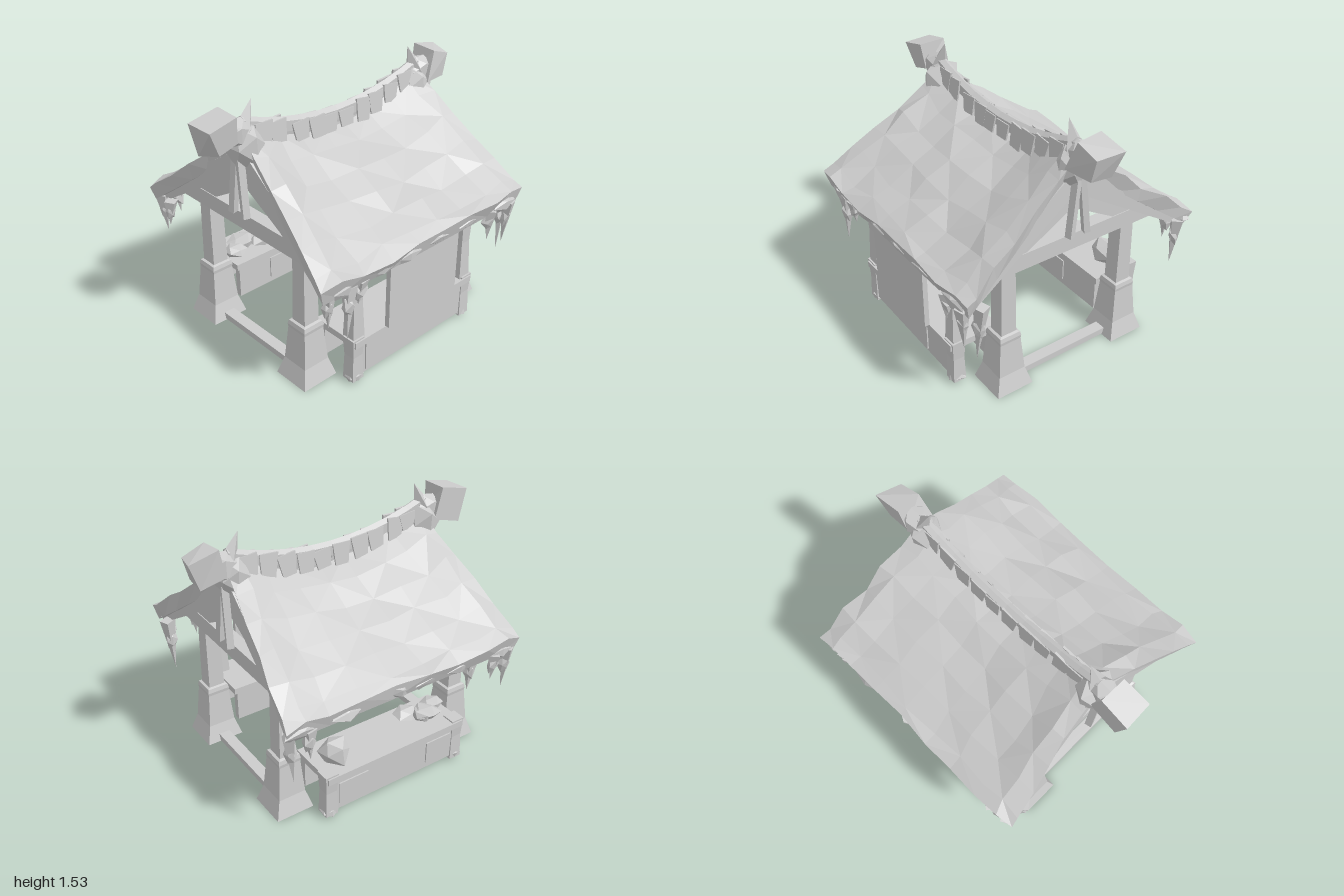
import * as THREE from 'three';

const stone = new THREE.MeshStandardMaterial({ color: 0xcccccc, flatShading: true });
stone.name = 'plain grey';

let seed = 7;
const rand = () => { seed = (seed * 16807) % 2147483647; return seed / 2147483647 - 0.5; };

const V = (x, y, z) => new THREE.Vector3(x, y, z);

function add(group, name, geometry, x = 0, y = 0, z = 0) {
  const m = new THREE.Mesh(geometry, stone);
  m.name = name;
  m.position.set(x, y, z);
  group.add(m);
  return m;
}

// Box given by its limits
function block(group, name, x0, x1, y0, y1, z0, z1) {
  return add(group, name, new THREE.BoxGeometry(x1 - x0, y1 - y0, z1 - z0),
    (x0 + x1) / 2, (y0 + y1) / 2, (z0 + z1) / 2);
}

// Rectangular beam running between two points
function beam(group, name, a, b, w, h) {
  const c = a.clone().lerp(b, 0.5);
  const m = add(group, name, new THREE.BoxGeometry(w, h, a.distanceTo(b)), c.x, c.y, c.z);
  m.quaternion.setFromRotationMatrix(new THREE.Matrix4().lookAt(b, a, V(0, 1, 0)));
  return m;
}

// Square shaft through levels of [y, width]
function shaft(group, name, x, z, levels) {
  const pts = levels.map(([y, w]) => new THREE.Vector2(w * Math.SQRT1_2, y));
  pts.unshift(new THREE.Vector2(0, levels[0][0]));
  pts.push(new THREE.Vector2(0, levels[levels.length - 1][0]));
  return add(group, name, new THREE.LatheGeometry(pts, 4, Math.PI / 4), x, 0, z);
}

// Faceted lump with uneven corners
function lump(group, name, x, y, z, sx, sy, sz, rough = 0.3, g = new THREE.IcosahedronGeometry(1, 0)) {
  const p = g.attributes.position, moved = {};
  for (let i = 0; i < p.count; i++) {
    const key = [p.getX(i), p.getY(i), p.getZ(i)].map(n => Math.round(n * 100)).join();
    const k = (moved[key] ??= 1 + rand() * rough);
    p.setXYZ(i, p.getX(i) * k * sx, p.getY(i) * k * sy, p.getZ(i) * k * sz);
  }
  g.computeVertexNormals();
  return add(group, name, g, x, y, z);
}

// Solid from rings along x; each ring runs over the top (+z to -z), then back underneath
function loft(rings) {
  const n = rings[0].length, T = n / 2, last = rings.length - 1;
  const pos = rings.flat().flatMap(p => [p.x, p.y, p.z]), idx = [];
  for (let i = 0; i < last; i++) for (let j = 0; j < n; j++) {
    const a = i * n + j, d = i * n + (j + 1) % n, b = a + n, c = d + n;
    if ((i + j) % 2) idx.push(a, b, d, b, c, d);
    else idx.push(a, b, c, a, c, d);
  }
  for (let j = 0; j < T - 1; j++) {
    const t = j, t2 = j + 1, u = n - 1 - j, u2 = n - 2 - j, o = last * n;
    idx.push(o + t, o + u, o + t2, o + t2, o + u, o + u2);
    idx.push(t, t2, u, t2, u2, u);
  }
  const g = new THREE.BufferGeometry();
  g.setAttribute('position', new THREE.Float32BufferAttribute(pos, 3));
  g.setIndex(idx);
  const flat = g.toNonIndexed();
  flat.computeVertexNormals();
  return flat;
}

const HALF = 0.77;
const ridgeY = x => 1.22 + 0.15 * (x / 0.65) ** 2;
const halfLength = z => 0.66 + 0.13 * Math.abs(z) / HALF;

// Height of the sagging thatch; s runs -1..1 from gable to gable
function thatchY(s, z) {
  const t = Math.min(Math.abs(z) / HALF, 1);
  return 0.82 + (ridgeY(s * 0.65) - 0.82) * (1 - t) ** 1.02;
}

function roof(group) {
  const across = [0.77, 0.7, 0.57, 0.43, 0.28, 0.13, 0, -0.13, -0.28, -0.43, -0.57, -0.7, -0.77];
  const along = [-1, -0.86, -0.66, -0.4, -0.14, 0.14, 0.4, 0.66, 0.86, 1];
  const rings = along.map(s => {
    const rim = Math.abs(s) > 0.8 && Math.abs(s) < 1 ? 0.03 : 0;
    const top = across.map(z => V(s * halfLength(z) + rand() * 0.03,
      thatchY(s, z) + rim + rand() * 0.03, z + rand() * 0.03));
    const under = across.map(z => V(s * (halfLength(z) - 0.02),
      thatchY(s, z * 0.97) - 0.1, z * 0.96)).reverse();
    return top.concat(under);
  });
  add(group, 'thatchRoof', loft(rings));

  // Tufts along the eaves
  for (const sz of [-1, 1]) for (let i = 0; i < 6; i++) {
    lump(group, 'eaveTuft', -0.66 + i * 0.26 + rand() * 0.12, 0.765, sz * 0.735, 0.1, 0.04, 0.035, 0.9);
  }
}

function ridge(group) {
  // Narrow curved capping
  const rings = [];
  for (let i = 0; i <= 10; i++) {
    const x = -0.66 + i * 0.132, y = 1.345 + 0.13 * (x / 0.66) ** 2;
    rings.push([V(x, y - 0.02, 0.028), V(x, y, 0), V(x, y - 0.02, -0.028),
      V(x, y - 0.08, -0.028), V(x, y - 0.06, 0), V(x, y - 0.08, 0.028)]);
  }
  add(group, 'ridgeCap', loft(rings));

  // Ragged flaps on both sides
  for (const sz of [-1, 1]) for (let i = 0; i < 10; i++) {
    const x = -0.54 + i * 0.12 + rand() * 0.04, h = 0.12 + rand() * 0.05;
    const g = new THREE.CylinderGeometry(0.075, 0.055, h, 4, 1);
    g.rotateY(Math.PI / 4).scale(1.1, 1, 0.12);
    const flap = add(group, 'ridgeFlap', g, x, 1.265 + 0.13 * (x / 0.66) ** 2, sz * 0.035);
    flap.rotation.set(-sz * 0.12, 0, rand() * 0.25);
  }

  // Horned ends
  for (const sx of [-1, 1]) {
    lump(group, 'gablePeak', sx * 0.64, 1.31, 0, 0.1, 0.13, 0.12);
    lump(group, 'hornNeck', sx * 0.7, 1.39, 0, 0.11, 0.09, 0.08);
    const head = lump(group, 'hornHead', sx * 0.8, 1.405, 0, 0.16, 0.17, 0.15, 0.5, new THREE.BoxGeometry());
    head.rotation.z = -sx * 0.25;
    const spike = add(group, 'hornSpike', new THREE.ConeGeometry(0.065, 0.18, 4), sx * 0.62, 1.47, 0);
    spike.rotation.z = sx * 0.4;
  }
}

function frame(group) {
  for (const sx of [-1, 1]) {
    for (const sz of [-1, 1]) {
      shaft(group, 'cornerPost', sx * 0.6, sz * 0.41,
        [[0.02, 0.235], [0.13, 0.17], [0.34, 0.135], [0.36, 0.14], [0.385, 0.13], [0.39, 0.1], [0.82, 0.09]]);
      // Gable timbers
      beam(group, 'rafter', V(sx * 0.63, 1.22, 0), V(sx * 0.7, 0.79, sz * 0.71), 0.07, 0.12);
      beam(group, 'innerBrace', V(sx * 0.62, 1.11, 0), V(sx * 0.62, 0.86, sz * 0.44), 0.05, 0.11);
      beam(group, 'gableStrut', V(sx * 0.69, 1.27, sz * 0.015), V(sx * 0.7, 0.91, sz * 0.055), 0.04, 0.035);
    }
    block(group, 'tieBeam', sx * 0.61 - 0.04, sx * 0.61 + 0.04, 0.78, 0.88, -0.66, 0.66);
    block(group, 'floorSill', sx * 0.6 - 0.035, sx * 0.6 + 0.035, 0.025, 0.065, -0.36, 0.36);
  }
}

function counter(group, side) {
  const c = new THREE.Group();
  c.name = side > 0 ? 'frontCounter' : 'backCounter';
  group.add(c);
  const slab = (name, x0, x1, y0, y1, za, zb) =>
    block(c, name, x0, x1, y0, y1, Math.min(side * za, side * zb), Math.max(side * za, side * zb));
  slab('outerBoard', -0.45, 0.45, 0.06, 0.29, 0.61, 0.66);
  slab('innerBoard', -0.46, 0.46, 0.07, 0.28, 0.37, 0.41);
  slab('innerPatch', -0.22, 0.16, 0.11, 0.25, 0.362, 0.37);
  slab('counterTop', -0.48, 0.48, 0.27, 0.31, 0.36, 0.68);
  for (const sx of [-1, 1]) {
    lump(c, 'counterFoot', sx * 0.45, 0.055, side * 0.63, 0.055, 0.035, 0.055);
    shaft(c, 'counterLeg', sx * 0.45, side * 0.63, [[0.04, 0.08], [0.2, 0.07], [0.32, 0.085]]);
  }
  // Patch plates on the outer boards
  if (side > 0) {
    slab('patchPlate', -0.39, 0.2, 0.08, 0.26, 0.66, 0.668);
  } else {
    slab('patchPlate', 0.2, 0.4, 0.1, 0.24, 0.66, 0.668);
    slab('patchPlate', -0.4, -0.22, 0.1, 0.24, 0.66, 0.668);
  }
}

function shopFront(group) {
  block(group, 'shutter', -0.27, 0.28, 0.33, 0.76, 0.69, 0.72);
  for (const sx of [-1, 1]) {
    shaft(group, 'shutterPost', sx * 0.44, 0.62, [[0.3, 0.085], [0.55, 0.065], [0.8, 0.085]]);
  }
}

function goods(group) {
  const items = [[-0.41, 0.08], [-0.32, 0.09], [-0.22, 0.08], [-0.28, 0.07]];
  items.forEach(([x, r], i) =>
    lump(group, 'food', x, 0.345, -0.47 - (i % 2) * 0.06, r, 0.035, r * 0.85, 0.5));
  lump(group, 'sack', 0.34, 0.37, -0.54, 0.12, 0.09, 0.09, 0.6);
}

// Dangling strands at the eave corners: x, z, length
function strands(group) {
  const spots = [[-0.72, -0.73, 0.26], [-0.61, -0.74, 0.17], [-0.75, -0.62, 0.16],
    [-0.59, 0.73, 0.32], [-0.5, 0.72, 0.16], [-0.7, 0.7, 0.22],
    [0.7, 0.73, 0.28], [0.74, 0.66, 0.36], [0.54, 0.73, 0.2],
    [0.73, -0.71, 0.32], [0.63, -0.73, 0.2], [-0.46, -0.71, 0.2]];
  for (const [x, z, len] of spots) {
    const s = add(group, 'hangingStrand', new THREE.ConeGeometry(0.045, len, 4), x, 0.76 - len / 2, z);
    s.rotation.set(Math.PI + rand() * 0.15, rand() * 2, rand() * 0.2);
    lump(group, 'strandKnot', x, 0.76 - len * 0.4, z, 0.04, 0.06, 0.035, 0.6);
  }
}

export function createModel() {
  const model = new THREE.Group();
  model.name = 'thatchedStall';
  const stall = new THREE.Group();
  stall.name = 'stall';
  stall.rotation.y = THREE.MathUtils.degToRad(20);
  model.add(stall);
  roof(stall);
  ridge(stall);
  frame(stall);
  counter(stall, 1);
  counter(stall, -1);
  shopFront(stall);
  goods(stall);
  strands(stall);
  return model;
}
